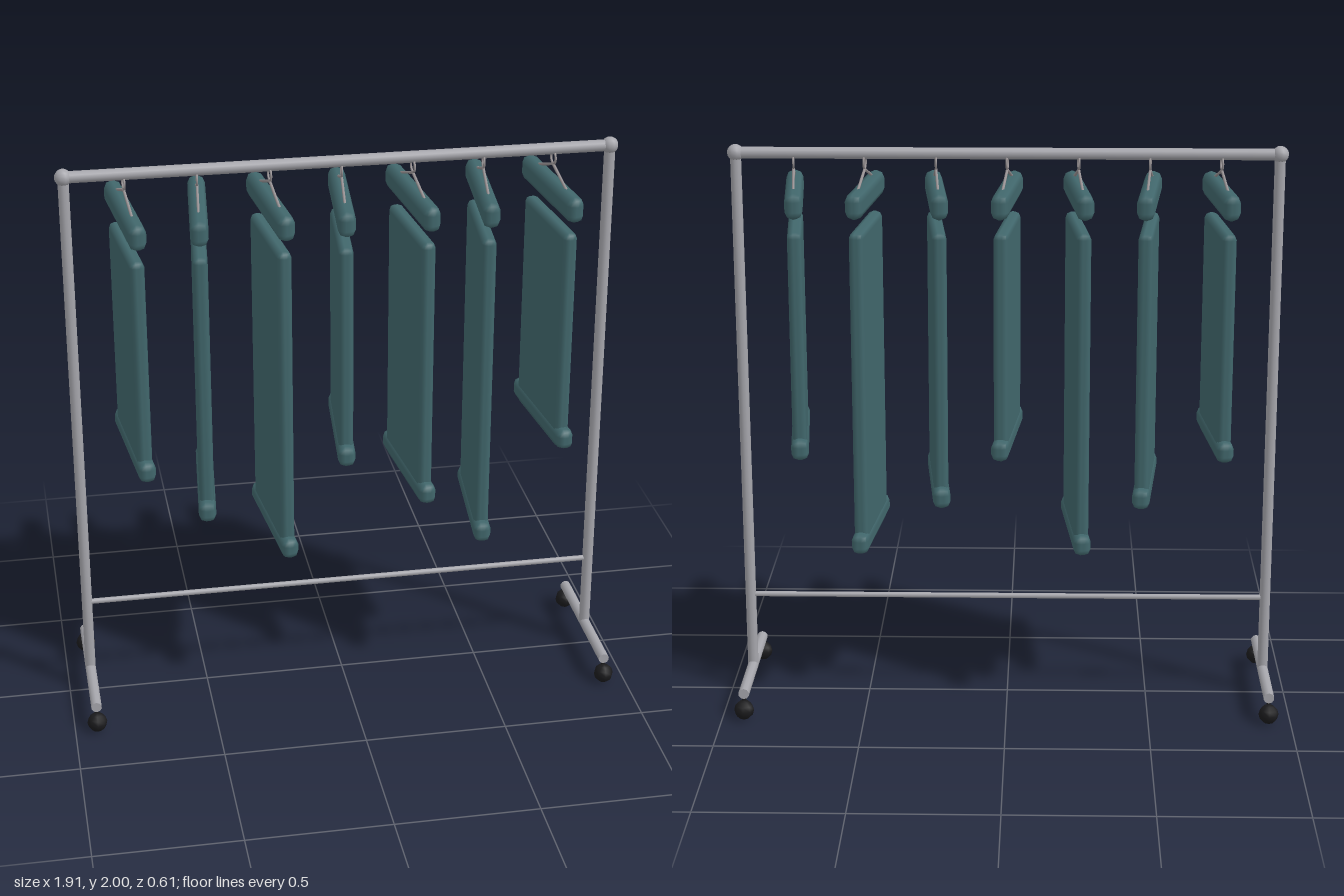
import * as THREE from 'three';
import { RoundedBoxGeometry } from 'three/addons/geometries/RoundedBoxGeometry.js';

export function createModel() {
  const root = new THREE.Group();
  root.name = 'clothesRack';

  const mat = (name, hex) => {
    const m = new THREE.MeshStandardMaterial({ color: hex });
    m.name = name;
    return m;
  };
  const steel = mat('steel', 0xa6a6ac);
  const wire = mat('wire', 0x9a9496);
  const cloth = mat('tealCloth', 0x41676c);
  const rubber = mat('blackRubber', 0x1b1b1d);

  const add = (parent, name, geometry, material, x = 0, y = 0, z = 0) => {
    const mesh = new THREE.Mesh(geometry, material);
    mesh.name = name;
    mesh.position.set(x, y, z);
    parent.add(mesh);
    return mesh;
  };

  // Round bar between two points
  const bar = (parent, name, a, b, radius, material, sides = 10) => {
    const from = new THREE.Vector3(...a);
    const to = new THREE.Vector3(...b);
    const dir = to.clone().sub(from);
    const mesh = add(parent, name, new THREE.CylinderGeometry(radius, radius, dir.length(), sides), material);
    mesh.position.copy(from).add(to).multiplyScalar(0.5);
    mesh.quaternion.setFromUnitVectors(new THREE.Vector3(0, 1, 0), dir.normalize());
  };

  // Frame: top rail, lower brace, and a post, joint, foot and casters per side
  const halfWidth = 0.922;
  const railY = 1.971;
  bar(root, 'topRail', [-halfWidth, railY, 0], [halfWidth, railY, 0], 0.02, steel);
  bar(root, 'lowerBrace', [-halfWidth, 0.372, 0], [halfWidth, 0.372, 0], 0.01, steel, 8);
  for (const side of [-1, 1]) {
    const x = side * halfWidth;
    bar(root, 'post', [x, 0.095, 0], [x, railY, 0], 0.019, steel);
    add(root, 'cornerJoint', new THREE.SphereGeometry(0.029, 10, 8), steel, x, railY, 0);
    bar(root, 'foot', [x, 0.098, -0.27], [x, 0.098, 0.27], 0.019, steel);
    for (const end of [-1, 1]) {
      add(root, 'caster', new THREE.SphereGeometry(0.035, 8, 6), rubber, x, 0.04, end * 0.272);
      bar(root, 'casterStem', [x, 0.05, end * 0.262], [x, 0.095, end * 0.262], 0.008, rubber, 6);
    }
  }

  // Garments: three lengths in turn, each twisted slightly the other way
  const hemBottoms = [0.94, 0.77, 0.6];
  for (let i = 0; i < 7; i++) {
    const garment = new THREE.Group();
    garment.name = 'garment';
    garment.position.x = (i - 3) * 0.242;
    garment.rotation.y = i % 2 === 0 ? 0.095 : -0.095;
    root.add(garment);

    // Hanger
    const hook = add(garment, 'hangerHook', new THREE.TorusGeometry(0.022, 0.004, 6, 14), wire, 0, 1.94, 0);
    hook.rotation.y = Math.PI / 2;
    for (const s of [-1, 1]) {
      bar(garment, 'hangerArm', [0, 1.916, 0], [0, 1.843, s * 0.21], 0.005, wire, 6);
    }

    // Shoulder roll, hanging panel and hem
    const bottom = hemBottoms[i % 3];
    const top = 1.735;
    add(garment, 'shoulder', new RoundedBoxGeometry(0.06, 0.088, 0.488, 1, 0.027), cloth, 0, 1.829, 0);
    add(garment, 'panel', new RoundedBoxGeometry(0.05, top - bottom, 0.41, 1, 0.02), cloth, 0, (top + bottom) / 2, 0);
    add(garment, 'hem', new RoundedBoxGeometry(0.06, 0.072, 0.488, 1, 0.024), cloth, 0, bottom + 0.044, 0);
  }

  return root;
}
